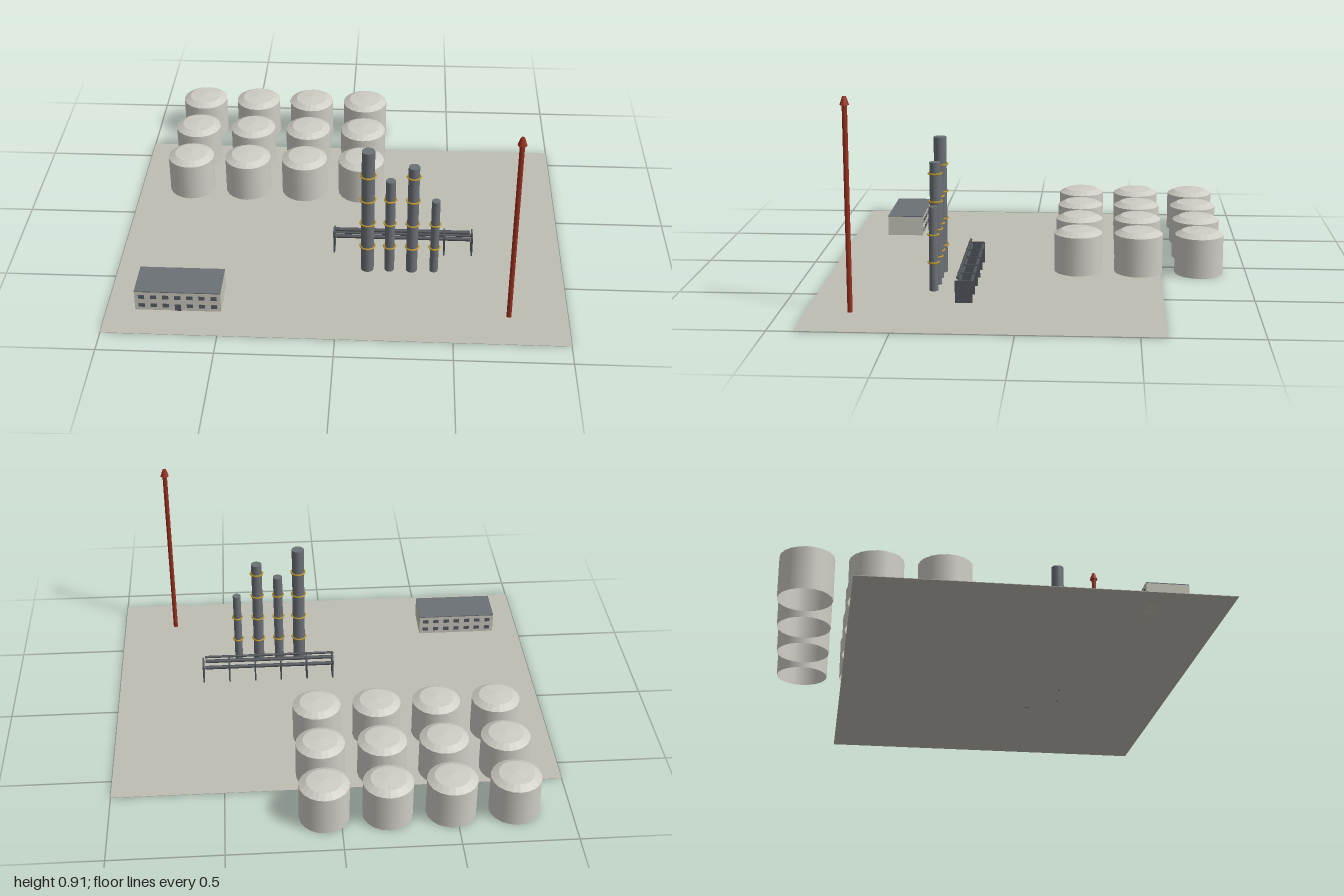
import * as THREE from 'three';

const material = (name, color, extra = {}) => {
  const m = new THREE.MeshStandardMaterial({ color, ...extra });
  m.name = name;
  return m;
};

export function createModel() {
  const root = new THREE.Group();
  root.name = 'tankFarm';
  const concrete = material('concrete', 0xbfbdb4);
  const tankPaint = material('tankPaint', 0xcfccc4, { side: THREE.DoubleSide });
  const domePaint = material('domePaint', 0xcfccc4, { side: THREE.DoubleSide, flatShading: true });
  const wallPaint = material('wallPaint', 0xc8c6ba);
  const slate = material('slate', 0x6c7176);
  const darkSteel = material('darkSteel', 0x50555a);
  const glass = material('windowGlass', 0x555b63);
  const yellow = material('yellowRing', 0xc09a2c);
  const red = material('mastRed', 0x98301f);

  const add = (parent, name, geometry, mat, x = 0, y = 0, z = 0) => {
    const mesh = new THREE.Mesh(geometry, mat);
    mesh.name = name;
    mesh.position.set(x, y, z);
    parent.add(mesh);
    return mesh;
  };
  const group = (name, x = 0, z = 0) => {
    const g = new THREE.Group();
    g.name = name;
    g.position.set(x, 0, z);
    root.add(g);
    return g;
  };

  // Ground slab
  add(root, 'ground', new THREE.BoxGeometry(2, 0.002, 1.5), concrete, 0, 0.001, 0.14);

  // Storage tanks: open shells with shallow domed roofs
  const shell = new THREE.CylinderGeometry(0.11, 0.11, 0.18, 20, 1, true);
  const dome = new THREE.SphereGeometry(0.11, 20, 2, 0, Math.PI * 2, 0, Math.PI / 2);
  dome.scale(1, 0.025 / 0.11, 1);
  for (let row = 0; row < 3; row++) {
    for (let col = 0; col < 4; col++) {
      const tank = group('storageTank', -0.753 + col * 0.275, -0.785 + row * 0.275);
      add(tank, 'tankShell', shell, tankPaint, 0, 0.09, 0);
      add(tank, 'tankDome', dome, domePaint, 0, 0.18, 0);
    }
  }

  // Chimney stacks with evenly spaced yellow rings
  const stacks = [[0.123, 0.029, 0.63], [0.222, 0.022, 0.48], [0.322, 0.025, 0.555], [0.422, 0.019, 0.38]];
  for (const [x, r, h] of stacks) {
    const stack = group('chimneyStack', x, 0.39);
    add(stack, 'stackTube', new THREE.CylinderGeometry(r, r, h, 16), slate, 0, h / 2, 0);
    const ring = new THREE.TorusGeometry(r + 0.004, 0.004, 6, 20).rotateX(Math.PI / 2);
    for (let y = 0.13; y < h - 0.03; y += 0.125) add(stack, 'stackRing', ring, yellow, 0, y, 0);
  }

  // Pipe rack: plate supports carrying long pipes
  const rack = group('pipeRack', 0, 0.242);
  for (let i = 0; i < 6; i++) {
    add(rack, 'rackSupport', new THREE.BoxGeometry(0.007, 0.1, 0.075), darkSteel, -0.032 + i * 0.1255, 0.05, 0);
  }
  for (const [y, z, r] of [[0.086, -0.029, 0.009], [0.086, 0.023, 0.009], [0.109, 0.027, 0.006]]) {
    const pipe = new THREE.CylinderGeometry(r, r, 0.625, 8).rotateZ(Math.PI / 2);
    add(rack, 'rackPipe', pipe, darkSteel, 0.274, y, z);
  }

  // Office block with a dark roof and window rows on both long walls
  const office = group('office', -0.6875, 0.6425);
  add(office, 'officeWalls', new THREE.BoxGeometry(0.375, 0.097, 0.175), wallPaint, 0, 0.0485, 0);
  add(office, 'officeRoof', new THREE.BoxGeometry(0.375, 0.004, 0.175), slate, 0, 0.099, 0);
  const pane = new THREE.BoxGeometry(0.027, 0.019, 0.003);
  for (const side of [1, -1]) {
    for (let i = -3; i <= 3; i++) {
      const x = i * 0.0525;
      add(office, 'upperWindow', pane, glass, x, 0.072, side * 0.088);
      if (i === 0 && side === 1) {
        add(office, 'door', new THREE.BoxGeometry(0.027, 0.036, 0.003), glass, x, 0.018, side * 0.088);
      } else {
        add(office, 'lowerWindow', pane, glass, x, 0.028, side * 0.088);
      }
    }
  }

  // Red mast with a tapered tip
  const mast = group('mast', 0.745, 0.703);
  add(mast, 'mastPole', new THREE.CylinderGeometry(0.011, 0.011, 0.88, 10), red, 0, 0.44, 0);
  add(mast, 'mastTip', new THREE.CylinderGeometry(0.008, 0.02, 0.035, 10), red, 0, 0.895, 0);

  return root;
}
